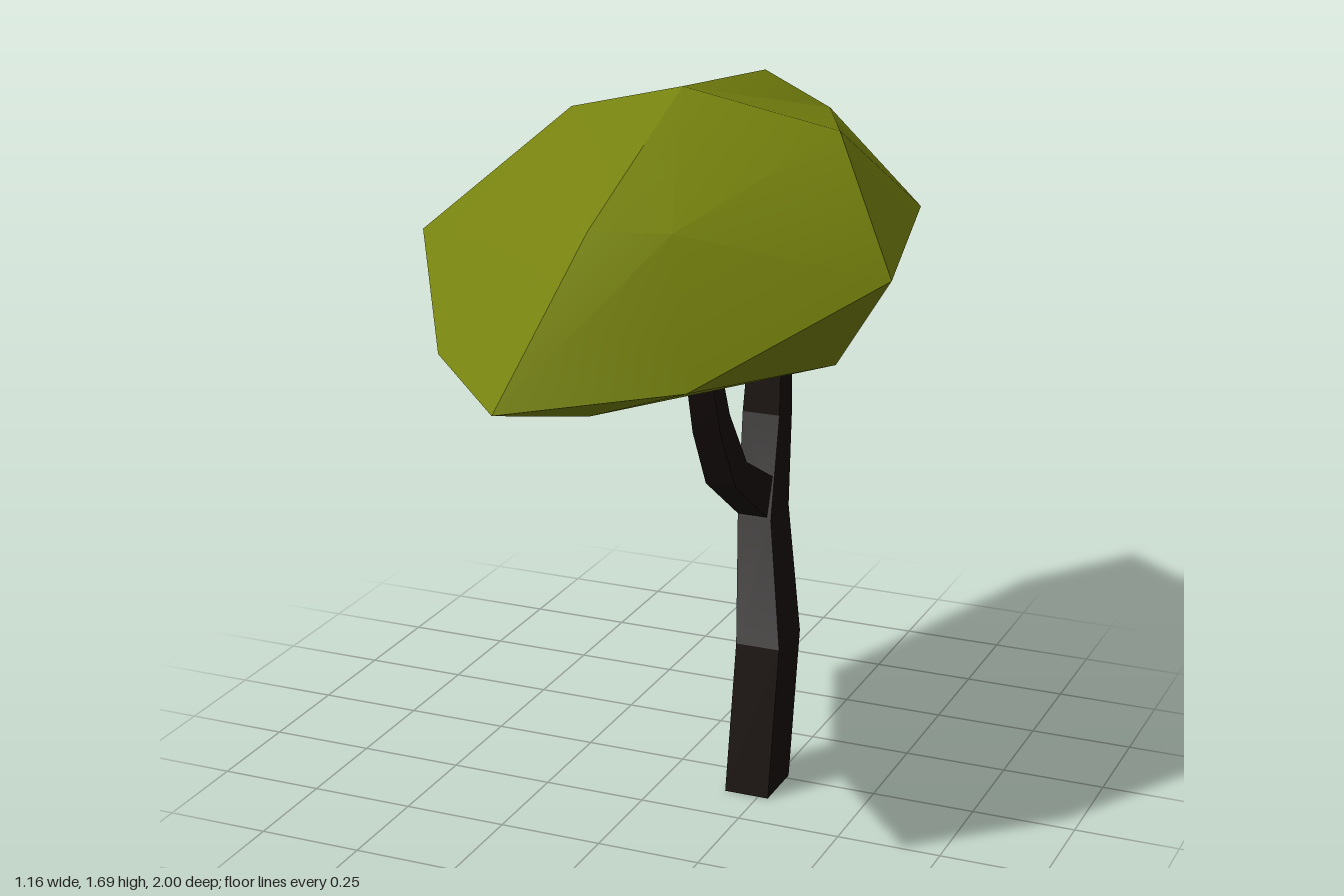
import * as THREE from 'three';
import { toCreasedNormals } from 'three/addons/utils/BufferGeometryUtils.js';

const V = (p) => new THREE.Vector3(...p);

// Skin a stack of loops (bottom to top, counter-clockwise from above), closed
// by a fan at each end. Each quad is split along its convex diagonal, and
// triangles collapsed by repeated points are skipped.
function loft(loops, bottomPoint, topPoint, crease) {
  const out = [];
  const tri = (a, b, c) => {
    const area = b.clone().sub(a).cross(c.clone().sub(a)).length();
    if (area > 1e-6) out.push(...a.toArray(), ...b.toArray(), ...c.toArray());
  };
  const rings = loops.map((loop) => loop.map(V));
  const n = rings[0].length;
  const low = V(bottomPoint), high = V(topPoint);
  const last = rings[rings.length - 1];
  for (let i = 0; i < n; i++) {
    const j = (i + 1) % n;
    tri(low, rings[0][j], rings[0][i]);
    tri(high, last[i], last[j]);
    for (let r = 0; r + 1 < rings.length; r++) {
      const a = rings[r][i], b = rings[r][j], c = rings[r + 1][j], d = rings[r + 1][i];
      const normal = b.clone().sub(a).cross(c.clone().sub(a));
      if (normal.dot(d.clone().sub(a)) <= 0) { tri(a, b, c); tri(a, c, d); }
      else { tri(a, b, d); tri(b, c, d); }
    }
  }
  const geometry = new THREE.BufferGeometry();
  geometry.setAttribute('position', new THREE.Float32BufferAttribute(out, 3));
  return toCreasedNormals(geometry, crease);
}

// Four-sided limb; each section is [front z, front y, back z, back y, x min, x max].
function limb(sections) {
  const loops = sections.map(([zf, yf, zb, yb, x0, x1]) =>
    [[x1, yf, zf], [x1, yb, zb], [x0, yb, zb], [x0, yf, zf]]);
  const centre = ([zf, yf, zb, yb, x0, x1]) => [(x0 + x1) / 2, (yf + yb) / 2, (zf + zb) / 2];
  return loft(loops, centre(sections[0]), centre(sections[sections.length - 1]), 0.15);
}

export function createModel() {
  const tree = new THREE.Group();
  tree.name = 'tree';
  const bark = new THREE.MeshStandardMaterial({ color: 0x170e0c });
  const leaf = new THREE.MeshStandardMaterial({ color: 0x75810e });
  const add = (name, geometry, material) => {
    const mesh = new THREE.Mesh(geometry, material);
    mesh.name = name;
    tree.add(mesh);
  };

  // Leaning trunk
  add('trunk', limb([
    [0.125, 0, -0.015, 0, 0.165, 0.275],
    [0.06, 0.36, -0.08, 0.36, 0.165, 0.275],
    [-0.07, 0.635, -0.19, 0.635, 0.115, 0.2],
    [-0.16, 0.87, -0.245, 0.87, 0.09, 0.185],
    [-0.18, 1.07, -0.25, 1.07, 0.1, 0.18],
  ]), bark);

  // Side branch curving up towards the front
  add('branch', limb([
    [-0.1, 0.62, -0.15, 0.71, 0.115, 0.19],
    [0.12, 0.78, 0.05, 0.82, 0.11, 0.185],
    [0.2, 0.93, 0.145, 0.965, 0.11, 0.18],
    [0.25, 1.07, 0.19, 1.07, 0.115, 0.18],
  ]), bark);

  // Faceted canopy: flat diamond underside, wide rim, domed crown
  const front = [0, 1.055, 0.53], back = [0, 1.055, -0.52];
  const left = [0.37, 1.055, -0.04], right = [-0.3, 1.055, -0.04];
  const underside = [front, front, left, back, back, back, right, front];
  const rim = [
    [0, 1.2, 1], [0.31, 1.2, 0.71], [0.58, 1.34, 0.19], [0.34, 1.27, -0.73],
    [-0.03, 1.27, -1], [-0.34, 1.41, -0.59], [-0.58, 1.34, 0.19], [-0.3, 1.2, 0.66],
  ];
  const crown = [
    [0.04, 1.5, 0.61], [0.2, 1.49, 0.53], [0.37, 1.61, -0.04], [0.17, 1.55, -0.52],
    [0, 1.63, -0.52], [-0.17, 1.55, -0.52], [-0.3, 1.61, -0.04], [0.04, 1.5, 0.61],
  ];
  add('canopy', loft([underside, rim, crown], [0, 1.055, 0], [0, 1.69, 0], 0.42), leaf);

  return tree;
}
